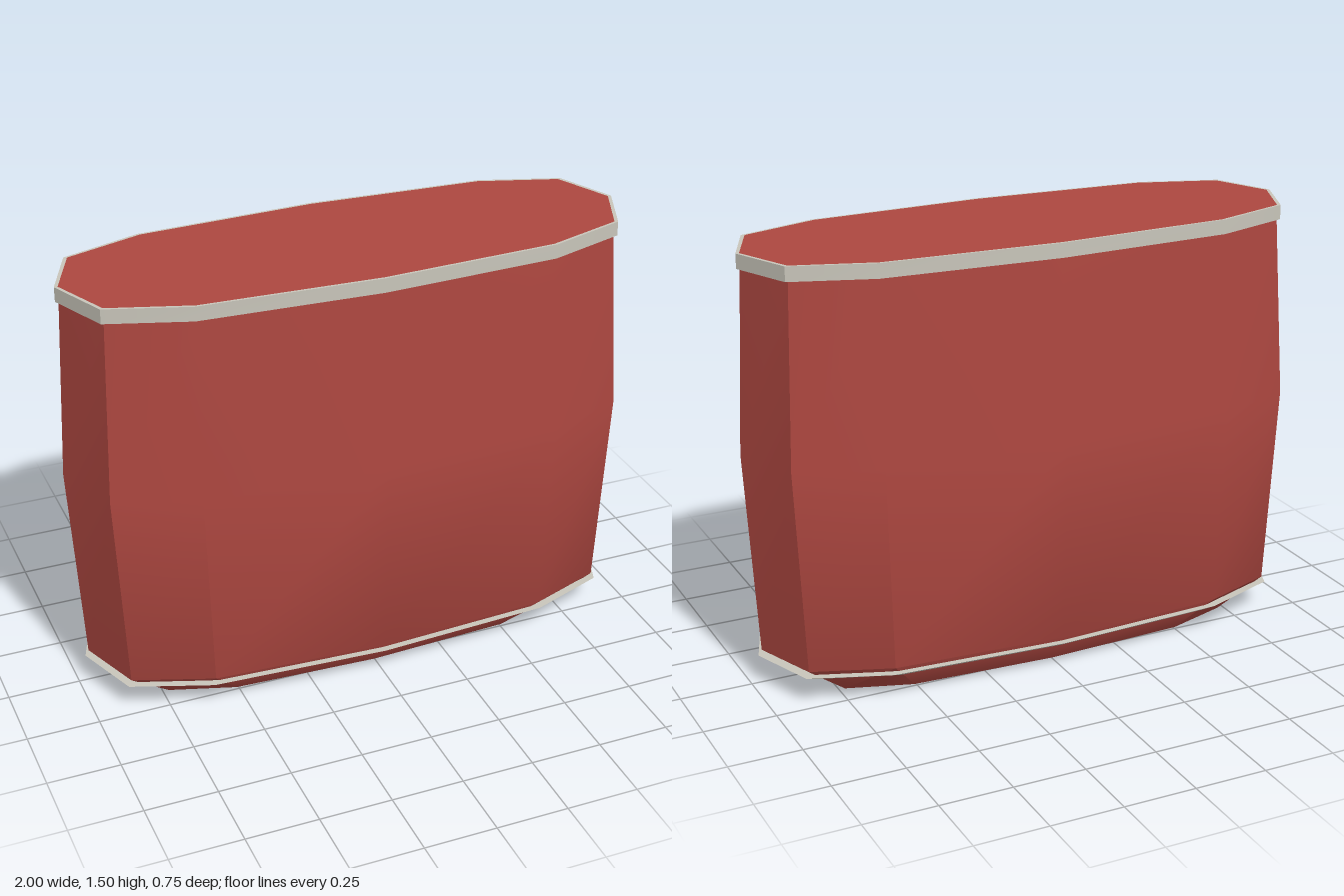
import * as THREE from 'three';
import { toCreasedNormals } from 'three/addons/utils/BufferGeometryUtils.js';

// Quarter of the twelve-sided plan, as fractions of the half width and half depth
const QUARTER = [[1, 0], [0.911, 0.632], [0.632, 0.907], [0, 1]];
const PLAN = [
  ...QUARTER,
  ...QUARTER.slice(0, 3).reverse().map(([x, z]) => [-x, z]),
  ...QUARTER.slice(1).map(([x, z]) => [-x, -z]),
  ...QUARTER.slice(1, 3).reverse().map(([x, z]) => [x, -z]),
];

// Skins a stack of [halfWidth, halfDepth, y] rings; a zero ring closes an end
function loft(rings) {
  const pos = [];
  const n = PLAN.length;
  const at = ([w, d, y], i) => [PLAN[i % n][0] * w, y, PLAN[i % n][1] * d];
  for (let k = 0; k < rings.length - 1; k++) {
    const a = rings[k], b = rings[k + 1];
    for (let i = 0; i < n; i++) {
      if (a[0] > 0) pos.push(...at(a, i), ...at(b, i), ...at(a, i + 1));
      if (b[0] > 0) pos.push(...at(a, i + 1), ...at(b, i), ...at(b, i + 1));
    }
  }
  const geo = new THREE.BufferGeometry();
  geo.setAttribute('position', new THREE.Float32BufferAttribute(pos, 3));
  return toCreasedNormals(geo, 0.69);
}

export function createModel() {
  const red = new THREE.MeshStandardMaterial({ color: 0xad4740 });
  red.name = 'red';
  const grey = new THREE.MeshStandardMaterial({ color: 0xc8c5ba });
  grey.name = 'pale grey';

  const group = new THREE.Group();
  const add = (name, rings, material) => {
    const mesh = new THREE.Mesh(loft(rings), material);
    mesh.name = name;
    group.add(mesh);
  };

  // Bulging body with a tapered foot and flat ends
  add('body', [
    [0, 0, 0], [0.8, 0.265, 0], [0.96, 0.357, 0.12], [1, 0.375, 0.83],
    [0.971, 0.322, 1.46], [0.971, 0.322, 1.5], [0, 0, 1.5],
  ], red);

  // Straight band around the top edge
  add('topRim', [
    [0.96, 0.315, 1.45], [0.983, 0.331, 1.45], [0.983, 0.331, 1.5], [0.971, 0.322, 1.5],
  ], grey);

  // Thin flared band above the foot
  add('bottomBand', [
    [0.9, 0.32, 0.08], [0.92, 0.334, 0.08], [0.972, 0.366, 0.1], [0.92, 0.335, 0.1],
  ], grey);

  return group;
}
